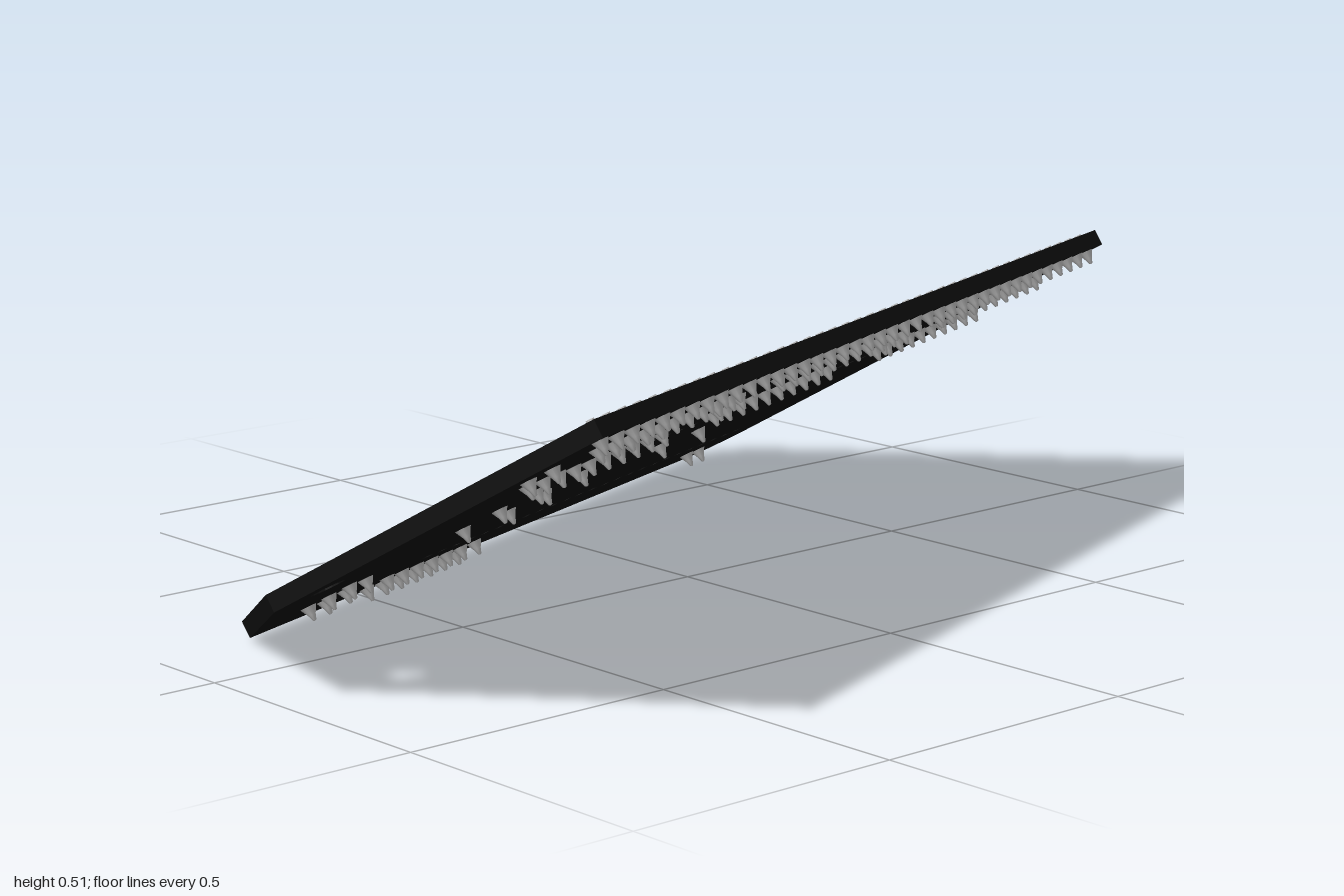
import * as THREE from 'three';
import { mergeGeometries } from 'three/addons/utils/BufferGeometryUtils.js';

const LENGTH = 1.91, WIDTH = 0.955, THICK = 0.03, PITCH = 0.0474;

// Evenly spaced points [u, v] along a row
function row(u, v, count, step = PITCH) {
  return Array.from({ length: count }, (_, i) => [u + i * step, v]);
}

// Board with a chamfered corner, a rounded corner and drilled holes;
// u runs along the upper edge, v runs down the slope, top face at y = 0
function boardGeometry(sockets) {
  const r = 0.1;
  const shape = new THREE.Shape();
  shape.moveTo(0, 0);
  shape.lineTo(LENGTH, 0);
  shape.lineTo(LENGTH, WIDTH - r);
  shape.absarc(LENGTH - r, WIDTH - r, r, 0, Math.PI / 2, false);
  shape.lineTo(0.29, WIDTH);
  shape.lineTo(0, 0.67);
  shape.closePath();
  const drill = (u, v, radius) => {
    const hole = new THREE.Path();
    hole.absarc(u, v, radius, 0, Math.PI * 2, true);
    shape.holes.push(hole);
  };
  drill(0.093, 0.626, 0.03);
  sockets.forEach(([u, v]) => drill(u, v, 0.0095));
  const geo = new THREE.ExtrudeGeometry(shape, { depth: THICK, bevelEnabled: false, curveSegments: 8 });
  geo.rotateX(-Math.PI / 2);
  geo.translate(0, -THICK, 0);
  return geo;
}

// One soldered pin: thin lead through the board, solder cone underneath
function pinGeometry() {
  const profile = [[0, -0.025], [0.003, -0.024], [0.0065, -0.014], [0.014, 0]]
    .map(([x, y]) => new THREE.Vector2(x, y - THICK));
  const cone = new THREE.LatheGeometry(profile, 12);
  const lead = new THREE.CylinderGeometry(0.007, 0.007, THICK + 0.004, 8);
  lead.translate(0, 0.002 - THICK / 2, 0);
  return mergeGeometries([cone, lead]);
}

export function createModel() {
  const boardBlack = new THREE.MeshStandardMaterial({ color: 0x101010 });
  boardBlack.name = 'boardBlack';
  const solderSilver = new THREE.MeshStandardMaterial({ color: 0xd0d0d0 });
  solderSilver.name = 'solderSilver';

  const model = new THREE.Group();
  model.name = 'circuitBoard';

  // Tilted frame whose origin is the upper front corner of the board
  const frame = new THREE.Group();
  frame.name = 'tiltedBoard';
  frame.rotation.set(-Math.PI / 6, Math.PI / 9, 0, 'YXZ');
  frame.position.set(-0.802, 0.504, 0.689);
  model.add(frame);

  // Plate with two rows of empty sockets
  const sockets = [...row(0.607, 0.786, 25, 0.047), ...row(0.607, 0.345, 25, 0.047)];
  const plate = new THREE.Mesh(boardGeometry(sockets), boardBlack);
  plate.name = 'boardPlate';
  frame.add(plate);

  const pin = pinGeometry();
  const addPins = (name, points) => {
    const copies = points.map(([u, v]) => pin.clone().translate(u, 0, -v));
    const mesh = new THREE.Mesh(mergeGeometries(copies), solderSilver);
    mesh.name = name;
    frame.add(mesh);
  };

  // Long header along the upper edge
  addPins('edgeHeaderPins', row(0.024, 0.021, 40));

  // Three twenty-pin chips, each with a capacitor beside it
  [0.16, 0.762, 1.388].forEach((u, i) => {
    addPins(`chipPins${i + 1}`, [...row(u, 0.116, 10), ...row(u, 0.257, 10)]);
    addPins(`capacitorPins${i + 1}`, [[u - 0.075, 0.155], [u - 0.079, 0.2]]);
  });

  // Three resistors in a column and one in the middle
  addPins('resistorPins', [0.386, 0.464, 0.543].flatMap((v) => row(0.378, v, 2, 0.142)));
  addPins('middleResistorPins', row(0.9, 0.457, 2, 0.142));

  // Small headers along the lower edge
  addPins('sixPinHeader', [0.727, 0.773, 0.819].flatMap((v) => row(0.287, v, 2)));
  addPins('doubleHeaderPins', [0.868, 0.915].flatMap((v) => row(0.59, v, 7)));
  addPins('twoPinHeader', row(1.668, 0.869, 2));

  return model;
}
